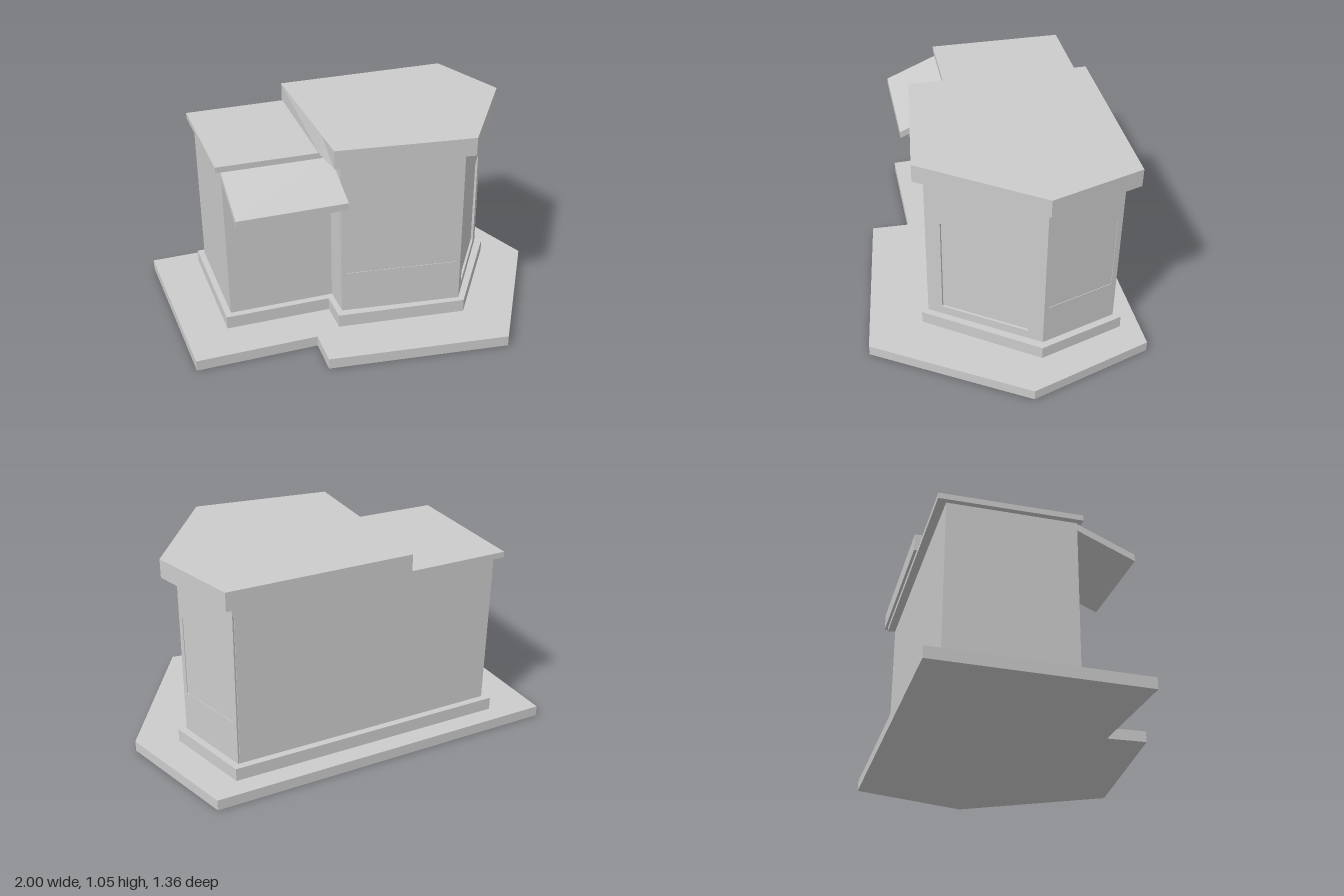
import * as THREE from 'three';

const material = new THREE.MeshStandardMaterial({ color: 0xcccccc, flatShading: true });

function add(group, name, geometry) {
  const mesh = new THREE.Mesh(geometry, material);
  mesh.name = name;
  group.add(mesh);
  return mesh;
}

// Upright prism over a floor outline of [x, z] corners
function prism(outline, y0, y1) {
  const shape = new THREE.Shape(outline.map(([x, z]) => new THREE.Vector2(x, -z)));
  const geometry = new THREE.ExtrudeGeometry(shape, { depth: y1 - y0, bevelEnabled: false });
  return geometry.rotateX(-Math.PI / 2).translate(0, y0, 0);
}

function rectangle(Type, x0, y0, x1, y1) {
  return new Type([[x0, y0], [x1, y0], [x1, y1], [x0, y1]].map(p => new THREE.Vector2(...p)));
}

// Wall facing from corner a to corner b (left to right from outside) with a recessed panel
const FACING = 0.012;
function facing(name, a, b, y0, y1, [u0, v0, u1, v1], recess) {
  const group = new THREE.Group();
  group.name = name;
  const dx = b[0] - a[0], dz = b[1] - a[1];
  const shape = rectangle(THREE.Shape, 0, y0, Math.hypot(dx, dz), y1);
  shape.holes.push(rectangle(THREE.Path, u0, v0, u1, v1));
  add(group, name + 'Surround', new THREE.ExtrudeGeometry(shape, { depth: FACING, bevelEnabled: false }))
    .position.z = -FACING;
  if (recess < FACING) {
    const panel = new THREE.BoxGeometry(u1 - u0, v1 - v0, FACING - recess);
    add(group, name + 'Panel', panel).position.set((u0 + u1) / 2, (v0 + v1) / 2, -(FACING + recess) / 2);
  }
  group.position.set(a[0], 0, a[1]);
  group.rotation.y = Math.atan2(-dz, dx);
  return group;
}

export function createModel() {
  const model = new THREE.Group();
  model.name = 'building';

  // Ground slab and plinth
  add(model, 'groundSlab', prism([[-1, -0.66], [0.8, -0.68], [1, -0.06], [0.56, 0.675],
    [-0.35, 0.555], [-0.345, 0.355], [-0.96, 0.355]], 0, 0.055));
  add(model, 'plinth', prism([[-0.76, -0.57], [0.667, -0.58], [0.8, -0.145], [0.44, 0.39],
    [-0.215, 0.31], [-0.215, 0.14], [-0.755, 0.135]], 0.055, 0.122));

  // Side wing and main block
  add(model, 'wingWalls', prism([[-0.728, -0.535], [-0.185, -0.54], [-0.185, 0.103], [-0.725, 0.1]], 0.122, 0.926));
  add(model, 'mainWalls', prism([[-0.185, -0.54], [0.633, -0.545], [0.747, -0.157],
    [0.419, 0.342], [-0.185, 0.258]], 0.122, 0.955));

  // Outer facings of the main block, with shallow recesses
  const frontLeft = [-0.185, 0.27], frontCorner = [0.425, 0.355], sideCorner = [0.76, -0.155], backCorner = [0.642, -0.545];
  model.add(
    facing('frontFacing', frontLeft, frontCorner, 0.122, 0.955, [0.02, 0.34, 0.59, 0.75], 0.003),
    facing('doorwayFacing', frontCorner, sideCorner, 0.122, 0.955, [0.078, 0.17, 0.532, 0.7], FACING),
    facing('sideFacing', sideCorner, backCorner, 0.122, 0.955, [0.026, 0.34, 0.38, 0.75], 0.003)
  );

  // Thin wing roof, continuing as an eave along the back
  add(model, 'wingRoof', prism([[-0.755, -0.578], [0.658, -0.586], [0.642, -0.54], [-0.19, -0.54],
    [-0.19, 0.13], [-0.755, 0.122]], 0.926, 0.955));

  // Thick main roof; its left edge bulges slightly at the bottom
  const roof = prism([[-0.235, 0.325], [0.455, 0.41], [0.83, -0.145], [0.69, -0.6],
    [-0.23, -0.595], [-0.2335, 0.13]], 0.955, 1.047);
  const p = roof.attributes.position;
  for (let i = 0; i < p.count; i++) {
    if (p.getY(i) < 1 && Math.abs(p.getX(i) + 0.2335) < 0.001 && Math.abs(p.getZ(i) - 0.13) < 0.001) p.setX(i, -0.25);
  }
  roof.computeVertexNormals();
  add(model, 'mainRoof', roof);

  // Sloping awning in front of the wing, drawn as a side profile of (z, y)
  const profile = new THREE.Shape([[0.09, 0.925], [0.09, 0.888], [0.385, 0.762], [0.385, 0.798]]
    .map(q => new THREE.Vector2(-q[0], q[1])));
  const awning = new THREE.ExtrudeGeometry(profile, { depth: 0.542, bevelEnabled: false });
  add(model, 'awning', awning.rotateY(Math.PI / 2).translate(-0.727, 0, 0));

  return model;
}
